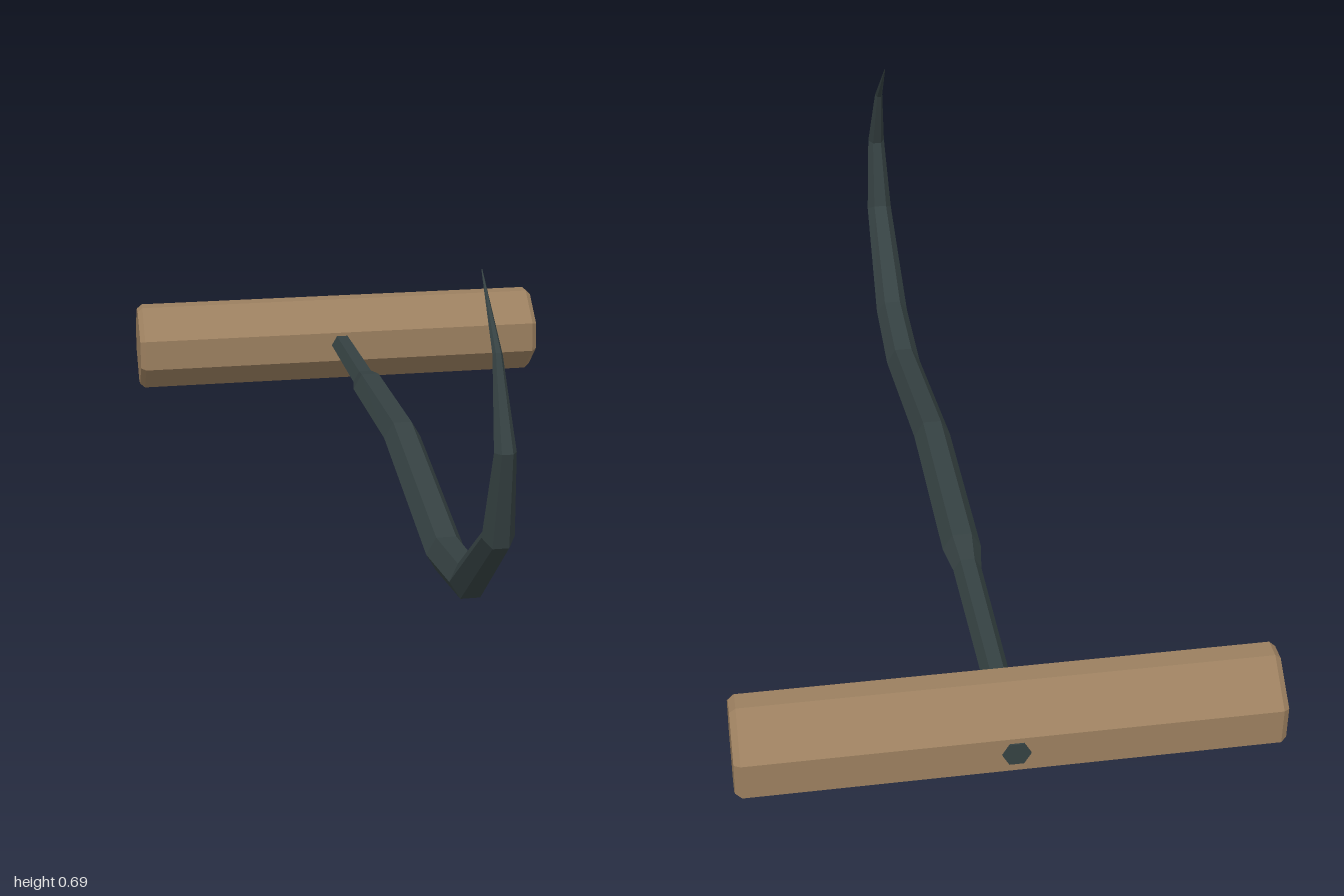
import * as THREE from 'three';

// Skin a list of equal-length rings (counter-clockwise about the travel direction) and cap both ends
function loft(rings) {
  const pos = [];
  const tri = (...pts) => pts.forEach((p) => pos.push(p.x, p.y, p.z));
  const n = rings[0].length;
  for (let i = 0; i < rings.length - 1; i++) {
    for (let j = 0; j < n; j++) {
      const k = (j + 1) % n;
      const a = rings[i][j], b = rings[i][k], c = rings[i + 1][k], d = rings[i + 1][j];
      tri(a, b, c);
      tri(a, c, d);
    }
  }
  const first = rings[0], last = rings[rings.length - 1];
  for (let j = 1; j < n - 1; j++) {
    tri(first[0], first[j + 1], first[j]);
    tri(last[0], last[j], last[j + 1]);
  }
  const geometry = new THREE.BufferGeometry();
  geometry.setAttribute('position', new THREE.Float32BufferAttribute(pos, 3));
  geometry.computeVertexNormals();
  return geometry;
}

// Hexagonal rings swept along a path of [z, y, radius], mitred at each bend
function hookRings(path) {
  const pts = path.map(([z, y]) => new THREE.Vector3(0, y, z));
  const side = new THREE.Vector3(1, 0, 0);
  return pts.map((p, i) => {
    const tangent = new THREE.Vector3();
    if (i > 0) tangent.add(p.clone().sub(pts[i - 1]).normalize());
    if (i < pts.length - 1) tangent.add(pts[i + 1].clone().sub(p).normalize());
    const up = tangent.normalize().clone().cross(side);
    const r = path[i][2];
    return Array.from({ length: 6 }, (_, j) => {
      const a = (j * Math.PI) / 3;
      return p.clone().addScaledVector(side, r * Math.cos(a)).addScaledVector(up, r * Math.sin(a));
    });
  });
}

// Flattened octagon section of the handle at x, pulled in by an inset
function handleRing(x, inset) {
  const section = [
    [0.105, -0.02], [0.105, 0.02], [0.037, 0.1], [-0.037, 0.1],
    [-0.105, 0.02], [-0.105, -0.02], [-0.037, -0.1], [0.037, -0.1],
  ];
  const s = 1 - inset;
  return section.map(([y, z]) => new THREE.Vector3(x, 0.105 + y * s, -0.9 + z * s));
}

export function createModel() {
  const wood = new THREE.MeshStandardMaterial({ color: 0x9b7f5f, flatShading: true });
  wood.name = 'wood';
  const iron = new THREE.MeshStandardMaterial({ color: 0x354142, flatShading: true });
  iron.name = 'darkIron';

  const group = new THREE.Group();
  group.name = 'handHook';

  // Wooden cross handle with chamfered ends
  const handle = new THREE.Mesh(
    loft([handleRing(-0.512, 0.1), handleRing(-0.5, 0), handleRing(0.5, 0), handleRing(0.512, 0.1)]),
    wood,
  );
  handle.name = 'handle';
  group.add(handle);

  // Iron hook: tang through the handle, shoulder, shank, bend and point
  const hook = new THREE.Mesh(
    loft(hookRings([
      [-1.003, 0.108, 0.027],
      [-0.8, 0.11, 0.027],
      [-0.45, 0.116, 0.029],
      [-0.38, 0.119, 0.04],
      [0.03, 0.13, 0.04],
      [0.5, 0.04, 0.04],
      [0.71, 0.066, 0.038],
      [0.94, 0.24, 0.03],
      [0.985, 0.41, 0.02],
      [0.918, 0.565, 0.009],
      [0.79, 0.685, 0.001],
    ])),
    iron,
  );
  hook.name = 'hook';
  group.add(hook);

  return group;
}
